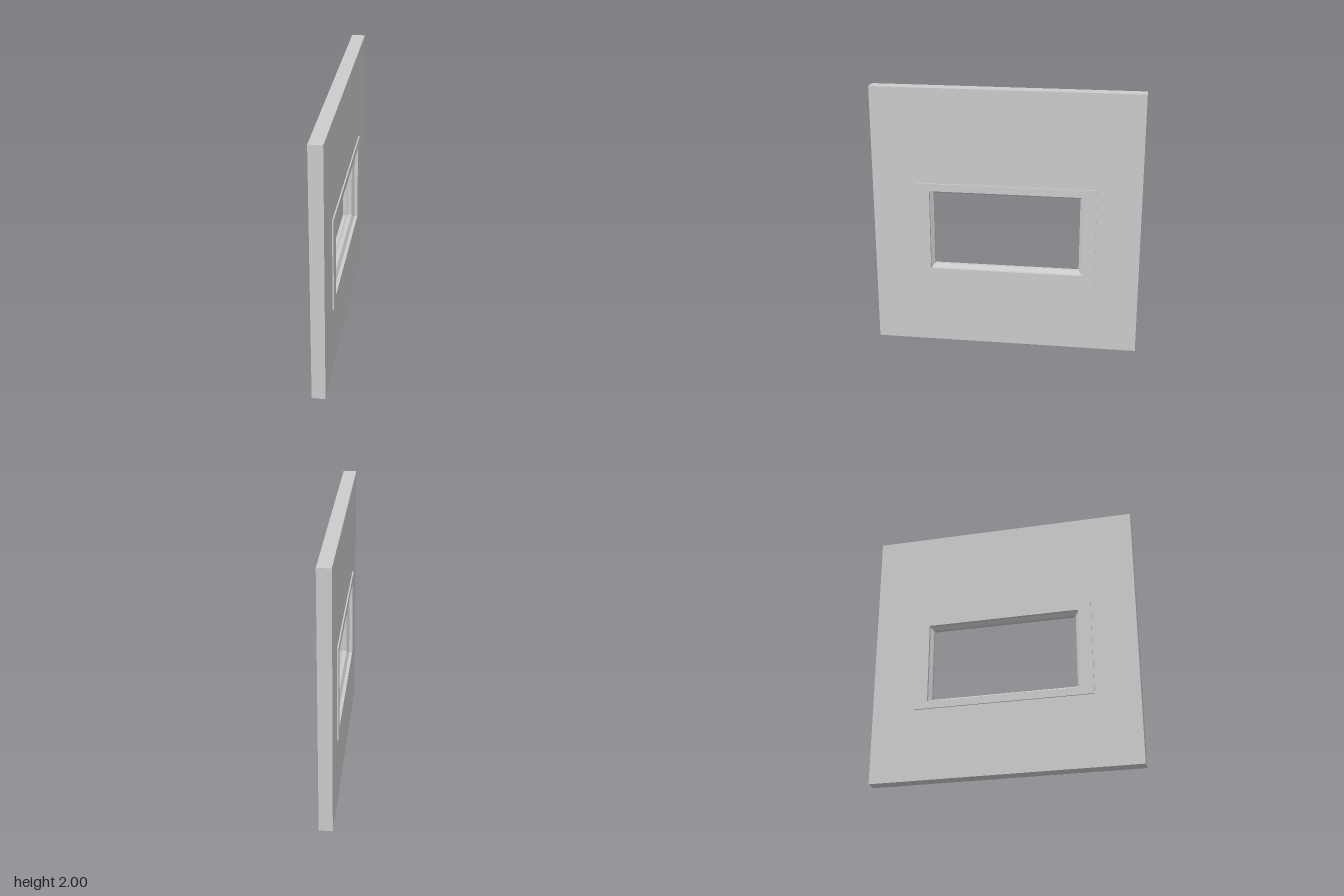
import * as THREE from 'three';

const material = new THREE.MeshStandardMaterial({ color: 0xcccccc, flatShading: true });

// Rectangle outline in the wall plane
function rect(path, z0, z1, y0, y1) {
  path.moveTo(z0, y0);
  path.lineTo(z1, y0);
  path.lineTo(z1, y1);
  path.lineTo(z0, y1);
  path.closePath();
  return path;
}

// Sweep a closed (x, inset) profile round a rectangle with mitred corners
function mitredFrame(profile, z0, z1, y0, y1) {
  const corner = ([x, d], k) => [
    [x, y0 + d, z0 + d], [x, y0 + d, z1 - d],
    [x, y1 - d, z1 - d], [x, y1 - d, z0 + d],
  ][k % 4];
  const pos = [];
  profile.forEach((p, i) => {
    const q = profile[(i + 1) % profile.length];
    for (let k = 0; k < 4; k++) {
      const a = corner(p, k), b = corner(p, k + 1), c = corner(q, k + 1), d = corner(q, k);
      pos.push(...a, ...c, ...b, ...a, ...d, ...c);
    }
  });
  const geo = new THREE.BufferGeometry();
  geo.setAttribute('position', new THREE.Float32BufferAttribute(pos, 3));
  geo.computeVertexNormals();
  return geo;
}

export function createModel() {
  const group = new THREE.Group();

  // Wall panel with a rectangular opening, hidden edge under the frame
  const shape = rect(new THREE.Shape(), -1, 1, 0, 2);
  shape.holes.push(rect(new THREE.Path(), -0.6, 0.6, 0.58, 1.25));
  const wallGeo = new THREE.ExtrudeGeometry(shape, { depth: 0.1, bevelEnabled: false });
  wallGeo.translate(0, 0, -0.05).rotateY(-Math.PI / 2);
  const wall = new THREE.Mesh(wallGeo, material);
  wall.name = 'wall';
  group.add(wall);

  // Window frame: raised trim on both faces, reveal, and bevelled centre rib
  const half = [[0.05, 0], [0.06, 0], [0.06, 0.0975], [0.035, 0.0975], [0.015, 0.122]];
  half[2][1] = half[3][1] = 0.098;
  const profile = [...half, ...half.map(([x, d]) => [-x, d]).reverse()];
  // Opening is taller in proportion: trim is narrower above and below
  const frameGeo = mitredFrame(profile, -0.673, 0.67, 0.545, 1.28);
  const p = frameGeo.attributes.position;
  for (let i = 0; i < p.count; i++) {
    const y = p.getY(i), mid = 0.9125, s = Math.sign(y - mid), inset = 0.3675 - Math.abs(y - mid);
    if (inset > 0.05) p.setY(i, mid + s * (0.3675 - (inset - 0.04)));
  }
  frameGeo.computeVertexNormals();
  const frame = new THREE.Mesh(frameGeo, material);
  frame.name = 'windowFrame';
  group.add(frame);

  return group;
}
